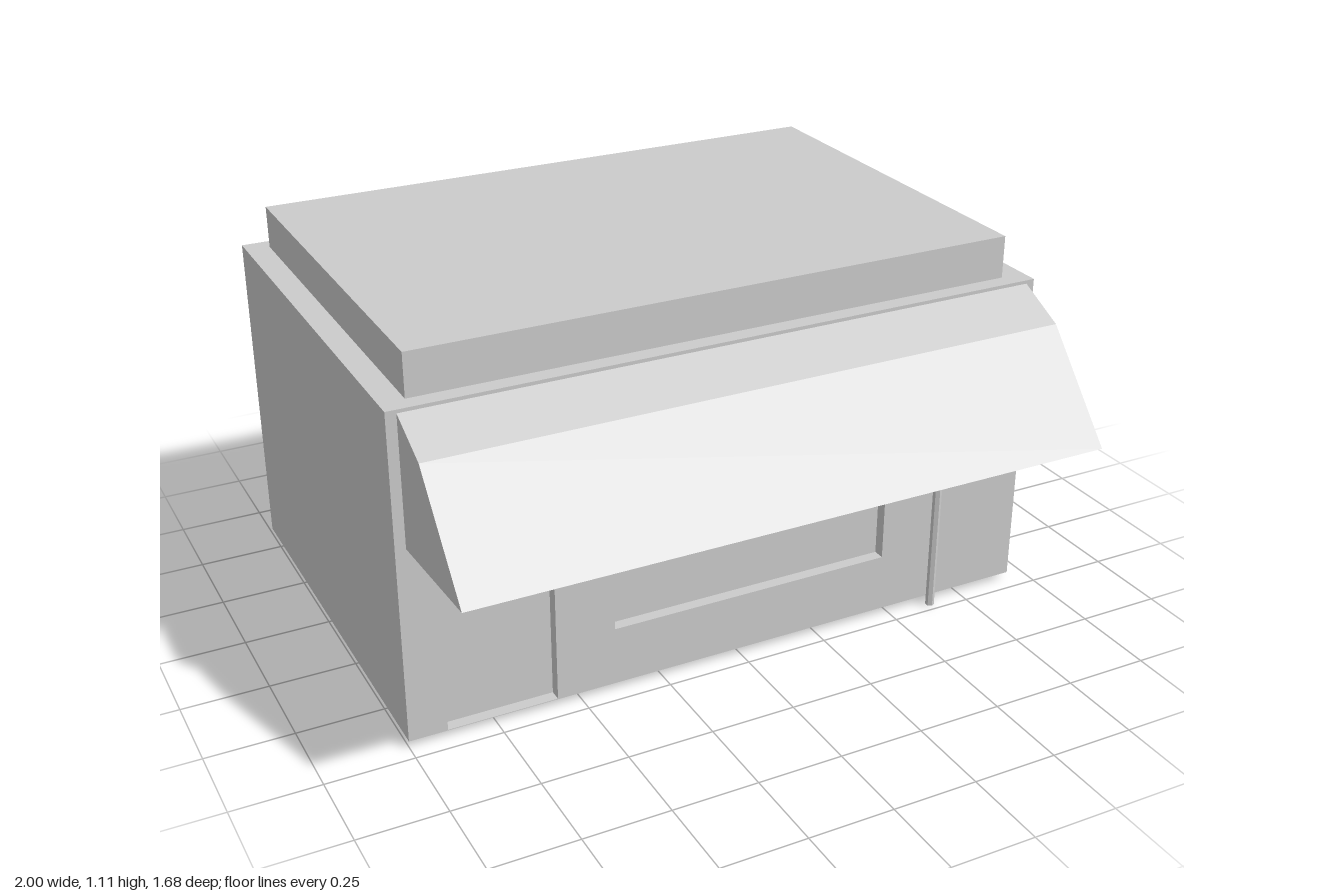
import * as THREE from 'three';

const mat = new THREE.MeshStandardMaterial({ color: 0xcccccc, flatShading: true });
const thinMat = new THREE.MeshStandardMaterial({ color: 0xcccccc, flatShading: true, side: THREE.DoubleSide });

function add(parent, name, geometry, material = mat) {
  const mesh = new THREE.Mesh(geometry, material);
  mesh.name = name;
  parent.add(mesh);
  return mesh;
}

// Box from its minimum and maximum corners
function boxBetween([x0, y0, z0], [x1, y1, z1]) {
  return new THREE.BoxGeometry(x1 - x0, y1 - y0, z1 - z0)
    .translate((x0 + x1) / 2, (y0 + y1) / 2, (z0 + z1) / 2);
}

function trace(path, points) {
  path.setFromPoints(points.map(([x, y]) => new THREE.Vector2(x, y)));
  return path;
}

const rect = (u0, v0, u1, v1) => [[u0, v0], [u1, v0], [u1, v1], [u0, v1], [u0, v0]];

// Wall panel with rectangular openings
function wall(outline, openings, depth) {
  const shape = trace(new THREE.Shape(), rect(...outline));
  for (const o of openings) shape.holes.push(trace(new THREE.Path(), rect(...o)));
  return new THREE.ExtrudeGeometry(shape, { depth, bevelEnabled: false });
}

// Thin surface made of flat polygons, each a fan of corners
function panels(polygons) {
  const pos = [];
  for (const p of polygons)
    for (let i = 1; i < p.length - 1; i++) pos.push(...p[0], ...p[i], ...p[i + 1]);
  const g = new THREE.BufferGeometry();
  g.setAttribute('position', new THREE.Float32BufferAttribute(pos, 3));
  g.computeVertexNormals();
  return g;
}

// Straight pipe pieces through a list of points
function pipe(parent, name, points, radius) {
  const group = new THREE.Group();
  group.name = name;
  const pts = points.map((p) => new THREE.Vector3(...p));
  for (let i = 0; i < pts.length - 1; i++) {
    const dir = pts[i + 1].clone().sub(pts[i]);
    const g = new THREE.CylinderGeometry(radius, radius, dir.length(), 6);
    const mesh = add(group, name + 'Section', g);
    mesh.position.copy(pts[i]).addScaledVector(dir, 0.5);
    mesh.quaternion.setFromUnitVectors(new THREE.Vector3(0, 1, 0), dir.normalize());
    if (i > 0) add(group, name + 'Bend', new THREE.SphereGeometry(radius, 6, 4)).position.copy(pts[i]);
  }
  parent.add(group);
}

export function createModel() {
  const model = new THREE.Group();
  model.name = 'shopBuilding';

  const left = -1, right = 0.935, base = 0.02, top = 0.985, back = -0.84, front = 0.45;
  const recess = 0.035, sill = base + 0.002;

  // Main block; its faces form the backs of the recesses
  add(model, 'buildingCore', boxBetween([left, base, back], [right - recess, top, front - recess]));

  // Front wall with door and window recesses
  add(model, 'frontWall', wall(
    [left, base, right, top],
    [[-0.89, sill, -0.57, 0.585], [-0.395, 0.195, 0.47, 0.585]],
    recess).translate(0, 0, front - recess));

  // Side wall with the wide shutter recess
  add(model, 'sideWall', wall(
    [-(front - recess), base, -back, top],
    [[-0.245, sill, 0.68, 0.585]],
    recess).rotateY(Math.PI / 2).translate(right - recess, 0, 0));

  // Raised roof slab
  add(model, 'roofSlab', boxBetween([-0.93, top, -0.79], [0.86, 1.11, 0.4]));

  // Awning: two sloping sheets, end panels and small corner gussets
  const x0 = -0.97, x1 = 0.91;
  const profile = [[0.975, 0.45], [0.905, 0.595], [0.625, 0.84], [0.597, 0.45]];
  const at = (x, i) => [x, ...profile[i]];
  const sheets = [0, 1].map((i) => [at(x0, i), at(x0, i + 1), at(x1, i + 1), at(x1, i)]);
  add(model, 'awningSheet', panels(sheets), thinMat);
  for (const [x, inward] of [[x0, 0.045], [x1, -0.08]]) {
    const end = [0, 1, 2, 3].map((i) => at(x, i));
    const gusset = [at(x, 2), at(x, 3), at(x + inward, 2)];
    if (x > 0) end.reverse();
    else gusset.reverse();
    add(model, 'awningEnd', panels([end, gusset]), thinMat);
  }

  // Front post, and side pipe rising at the back and running forward
  pipe(model, 'frontPost', [[0.638, 0, 0.47], [0.638, 0.88, 0.47]], 0.013);
  pipe(model, 'sidePipe', [
    [0.96, 0, -0.72], [0.96, 0.92, -0.72], [0.962, 0.945, -0.65],
    [0.987, 0.915, 0.24], [0.945, 0.91, 0.365],
  ], 0.012);

  return model;
}
